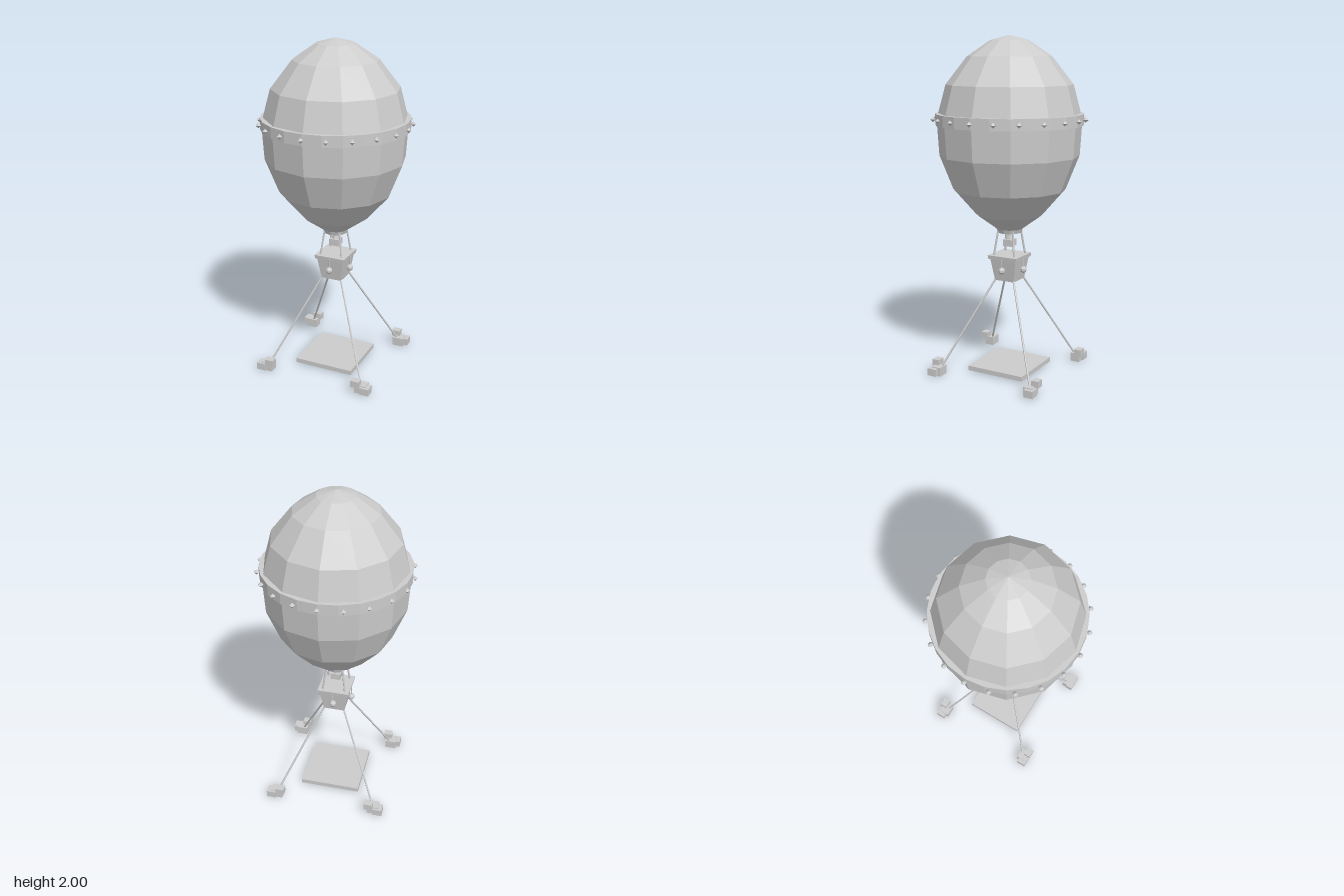
import * as THREE from 'three';

export function createModel() {
  const root = new THREE.Group();
  const grey = new THREE.MeshStandardMaterial({ color: 0xcccccc, flatShading: true });
  grey.name = 'light grey';

  const add = (name, geo, x = 0, y = 0, z = 0) => {
    const m = new THREE.Mesh(geo, grey);
    m.name = name;
    m.position.set(x, y, z);
    root.add(m);
    return m;
  };
  // box given by its minimum and maximum corners
  const box = (name, a, b) => add(name,
    new THREE.BoxGeometry(...a.map((v, i) => Math.abs(b[i] - v))),
    ...a.map((v, i) => (v + b[i]) / 2));
  // thin straight rod between two points
  const rod = (name, a, b, r) => {
    const p = new THREE.Vector3(...a), q = new THREE.Vector3(...b);
    const d = q.clone().sub(p);
    const m = add(name, new THREE.CylinderGeometry(r, r, d.length(), 6));
    m.position.copy(p).add(q).multiplyScalar(0.5);
    m.quaternion.setFromUnitVectors(new THREE.Vector3(0, 1, 0), d.normalize());
  };
  // square frustum with sides parallel to the axes
  const frustum = (top, bottom, h) => new THREE.CylinderGeometry(
    top * Math.SQRT2, bottom * Math.SQRT2, h, 4).rotateY(Math.PI / 4);

  // Twelve-sided envelope
  const profile = [[0, 0.87], [0.075, 0.87], [0.2, 0.96], [0.332, 1.11], [0.411, 1.31],
    [0.424, 1.52], [0.37, 1.72], [0.245, 1.88], [0.112, 1.97], [0, 2]];
  add('envelope', new THREE.LatheGeometry(profile.map(p => new THREE.Vector2(...p)), 12));

  // Band around the widest part, with studs
  add('band', new THREE.CylinderGeometry(0.432, 0.432, 0.066, 24), 0, 1.522, 0);
  for (let i = 0; i < 20; i++) {
    const a = i * Math.PI / 10;
    add('stud', new THREE.SphereGeometry(0.016, 6, 2),
      0.443 * Math.sin(a), 1.522, 0.443 * Math.cos(a));
  }

  // Collar and burner
  add('collar', new THREE.CylinderGeometry(0.082, 0.07, 0.034, 12), 0, 0.866, 0);
  add('burnerNozzle', new THREE.CylinderGeometry(0.012, 0.025, 0.05, 6), 0, 0.827, 0);
  add('burner', new THREE.BoxGeometry(0.06, 0.04, 0.06), 0, 0.786, 0);

  // Basket with a rim
  add('basket', frustum(0.086, 0.064, 0.14), 0, 0.63, 0);
  add('basketRim', frustum(0.096, 0.093, 0.023), 0, 0.703, 0);

  // Ballast hanging on each basket side
  for (let i = 0; i < 4; i++) {
    const s = Math.sin(i * Math.PI / 2) * 0.095, c = Math.cos(i * Math.PI / 2) * 0.095;
    add('ballast', new THREE.SphereGeometry(0.021, 8, 5), s, 0.63, c);
    rod('ballastCord', [s, 0.64, c], [s, 0.7, c], 0.003);
  }

  // Ropes, anchor lines and weights at each corner
  for (const x of [-1, 1]) for (const z of [-1, 1]) {
    rod('rope', [x * 0.05, 0.86, z * 0.05], [x * 0.07, 0.7, z * 0.07], 0.006);
    rod('anchorLine', [x * 0.062, 0.565, z * 0.062], [x * 0.3, 0.045, z * 0.3], 0.006);
    const weight = (a, b) => box('anchorWeight',
      [x * a[0], a[1], z * a[2]], [x * b[0], b[1], z * b[2]]);
    weight([0.312, 0.005, 0.297], [0.37, 0.048, 0.354]);
    weight([0.275, 0, 0.282], [0.345, 0.053, 0.34]);
    weight([0.258, 0.044, 0.315], [0.31, 0.085, 0.358]);
  }

  // Landing plate
  box('landingPlate', [-0.184, 0.006, -0.184], [0.184, 0.034, 0.184]);

  return root;
}
